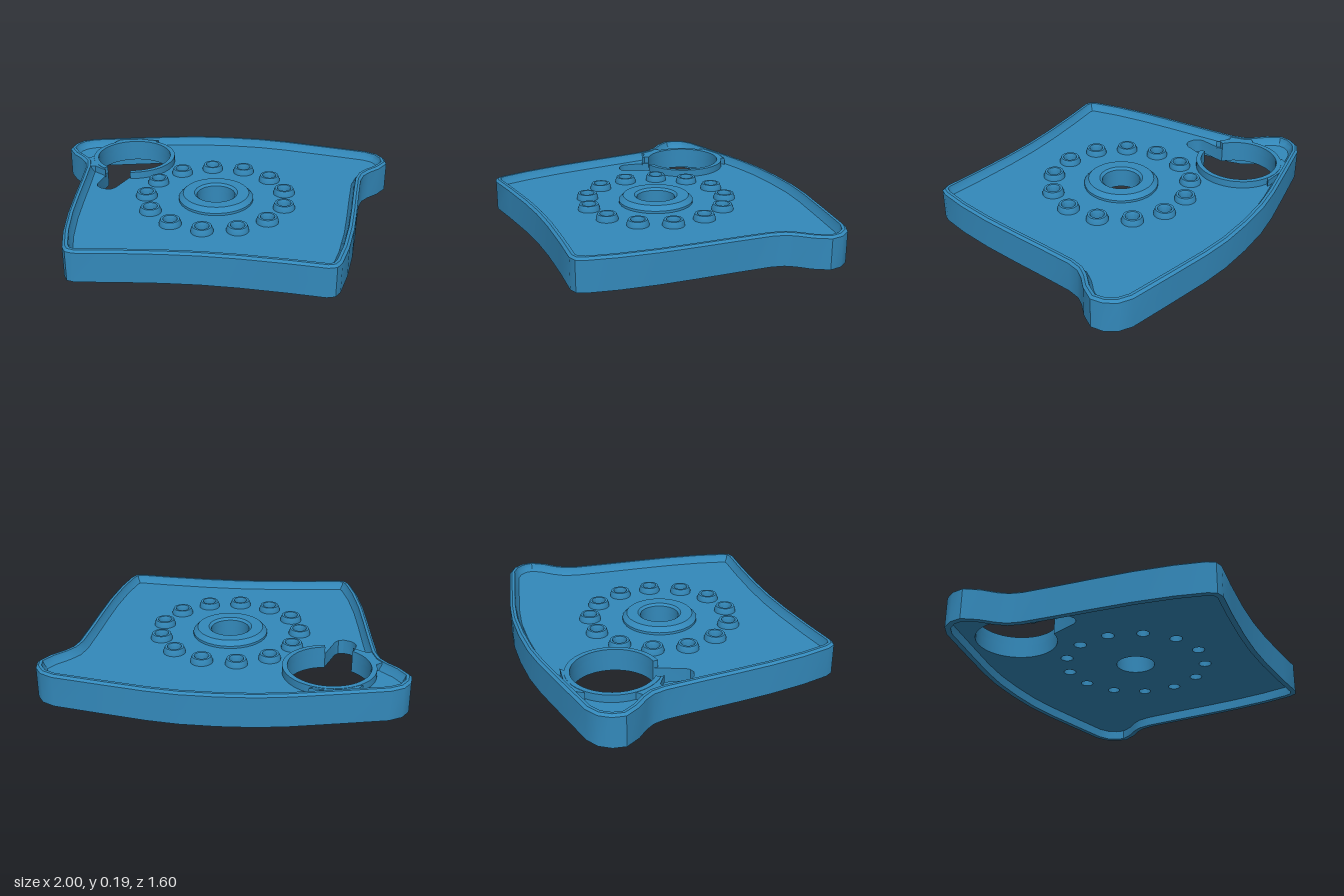
import * as THREE from 'three';
import { toCreasedNormals } from 'three/addons/utils/BufferGeometryUtils.js';

const TOP = 0.185, DECK = 0.14, UNDER = 0.055;
const material = new THREE.MeshStandardMaterial({ color: 0x3389bb });
const V = (x, z) => new THREE.Vector2(x, z);

function mesh(name, geometry) {
  const m = new THREE.Mesh(toCreasedNormals(geometry, 0.5), material);
  m.name = name;
  return m;
}

// Plan outline (x, z): right-hand half mirrored to the other side
function planOutline() {
  const half = [[0.2, -0.795], [0.37, -0.772], [0.62, -0.722], [0.88, -0.668], [0.95, -0.63],
    [0.99, -0.57], [1, -0.5], [0.95, -0.42], [0.89, -0.36], [0.855, -0.31], [0.836, -0.24], [0.82, -0.05],
    [0.805, 0.16], [0.787, 0.37], [0.757, 0.58], [0.72, 0.74], [0.695, 0.785], [0.65, 0.798],
    [0.45, 0.777], [0.2, 0.758]];
  const mirror = half.slice().reverse().map(([x, z]) => [-x, z]);
  return [[0, -0.802], ...half, [0, 0.752], ...mirror].map(p => V(...p));
}

// Mitred inset of a closed outline
function inset(points, d) {
  const n = points.length;
  const normal = (a, b) => V(a.y - b.y, b.x - a.x).normalize();
  return points.map((p, i) => {
    const n1 = normal(points[(i + n - 1) % n], p), n2 = normal(p, points[(i + 1) % n]);
    return n1.clone().add(n2).multiplyScalar(d / (1 + n1.dot(n2))).add(p);
  });
}

// Wall swept around the outline with a profile of [inset, height]
function sweepRim(outline, profile) {
  const pos = [], index = [], n = outline.length;
  for (const [d, y] of profile) for (const p of inset(outline, d)) pos.push(p.x, y, p.y);
  for (let j = 0; j < profile.length - 1; j++) {
    for (let i = 0; i < n; i++) {
      const a = j * n + i, b = j * n + (i + 1) % n;
      index.push(a, a + n, b, b, a + n, b + n);
    }
  }
  const g = new THREE.BufferGeometry();
  g.setAttribute('position', new THREE.Float32BufferAttribute(pos, 3));
  g.setIndex(index);
  return g;
}

// Plan shape extruded downwards from the given height
function plate(shape, top, bottom) {
  const g = new THREE.ExtrudeGeometry(shape, { depth: top - bottom, bevelEnabled: false });
  return g.rotateX(Math.PI / 2).translate(0, top, 0);
}

function arc(cx, cz, r, from, to, steps) {
  return Array.from({ length: steps + 1 }, (_, i) => {
    const t = THREE.MathUtils.degToRad(from + (to - from) * i / steps);
    return V(cx + r * Math.cos(t), cz + r * Math.sin(t));
  });
}

// Raised ring with bevelled outside and countersunk hole
function boss(name, x, z, outer, top, sink, hole, height) {
  const y = DECK + height;
  const profile = [V(outer, DECK - 0.01), V(outer, DECK + height * 0.35), V(top, y), V(sink, y),
    V(hole, y - 0.012), V(hole, DECK - 0.01)];
  const m = mesh(name, new THREE.LatheGeometry(profile, 36));
  m.position.set(x, 0, z);
  return m;
}

export function createModel() {
  const model = new THREE.Group();
  model.name = 'mountingPlate';
  const outline = planOutline();

  // Outer rim with chamfered lip
  model.add(mesh('rim', sweepRim(outline, [[0.03, UNDER + 0.01], [0.03, 0], [0, 0], [0, 0.173],
    [0.014, TOP], [0.03, TOP], [0.036, 0.165], [0.055, DECK - 0.002]])));

  // Deck with keyhole, hub hole and the ring of small holes
  const deck = new THREE.Shape(inset(outline, 0.028));
  const kx = -0.57, kz = -0.43, from = 125, to = 445;
  deck.holes.push(new THREE.Path([...arc(kx, kz, 0.225, from, to, 48),
    V(-0.61, -0.05), V(-0.63, -0.027), V(-0.66, -0.02), V(-0.7, -0.035), V(-0.722, -0.058), V(-0.73, -0.085)]));
  const cz = 0.03, count = 13, spots = [];
  for (let i = 0; i < count; i++) {
    const t = THREE.MathUtils.degToRad(94.3 + i * 360 / count);
    spots.push([0.404 * Math.cos(t), cz + 0.404 * Math.sin(t)]);
  }
  const addHole = (x, z, r) => deck.holes.push(new THREE.Path(arc(x, z, r, 0, 350, 35)));
  addHole(0, cz, 0.11);
  spots.forEach(([x, z]) => addHole(x, z, 0.035));
  model.add(mesh('deck', plate(deck, DECK, UNDER)));

  // Collar around the round part of the keyhole, open at the slot
  const collar = new THREE.Shape([...arc(kx, kz, 0.225, from, to, 48),
    ...arc(kx, kz, 0.253, from, to, 48).reverse()]);
  model.add(mesh('keyholeCollar', plate(collar, TOP - 0.003, DECK - 0.01)));

  // Webs joining the collar to the rim
  const webs = {
    sideWeb: [[-0.86, -0.36], [-0.81, -0.4], [-0.78, -0.32], [-0.74, -0.27], [-0.705, -0.2], [-0.78, -0.25], [-0.81, -0.24]],
    backWeb: [[-0.74, -0.63], [-0.66, -0.65], [-0.57, -0.665], [-0.5, -0.66], [-0.46, -0.685], [-0.6, -0.7], [-0.71, -0.67]],
  };
  for (const [name, pts] of Object.entries(webs)) {
    model.add(mesh(name, plate(new THREE.Shape(pts.map(p => V(...p))), TOP - 0.005, DECK - 0.01)));
  }

  // Central hub and ring of small bosses
  model.add(boss('hub', 0, cz, 0.215, 0.19, 0.125, 0.11, 0.04));
  spots.forEach(([x, z]) => model.add(boss('smallBoss', x, z, 0.062, 0.053, 0.04, 0.035, 0.035)));
  return model;
}
